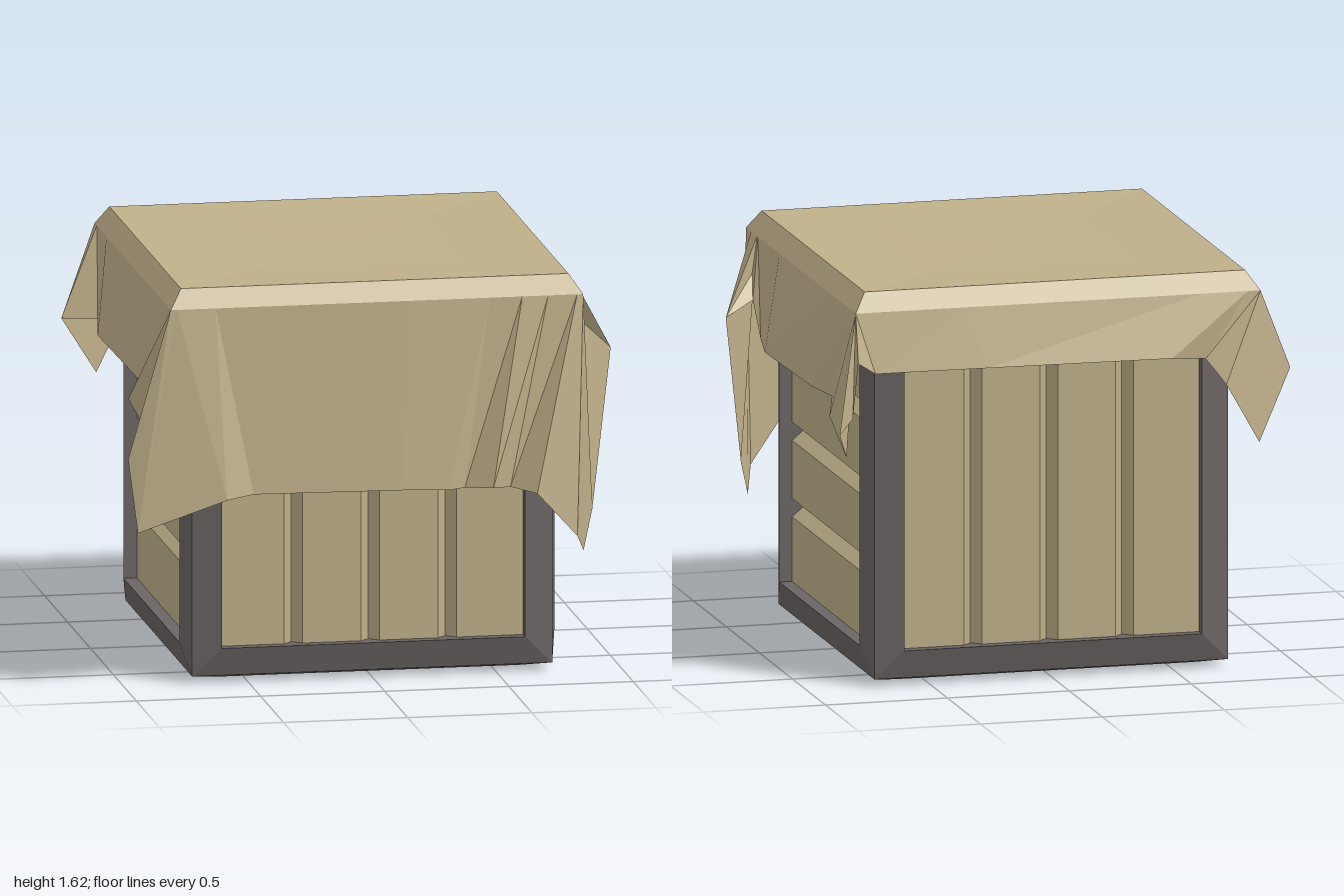
import * as THREE from 'three';
import { mergeGeometries } from 'three/addons/utils/BufferGeometryUtils.js';

const mat = (name, color) => new THREE.MeshStandardMaterial({ name, color, flatShading: true });

// Surface between closed rings of points, listed from outer/lower to inner/upper
function loft(rings) {
  const pos = [];
  for (let r = 0; r + 1 < rings.length; r++) {
    const lo = rings[r], hi = rings[r + 1], n = lo.length;
    for (let i = 0; i < n; i++) {
      const j = (i + 1) % n;
      pos.push(...lo[i], ...lo[j], ...hi[j], ...lo[i], ...hi[j], ...hi[i]);
    }
  }
  const g = new THREE.BufferGeometry();
  g.setAttribute('position', new THREE.Float32BufferAttribute(pos, 3));
  g.computeVertexNormals();
  return g;
}

// One side of the frame, facing +z: sloped border, then the wall of the recess
function frameSide() {
  const square = (h, z) => [[-h, -h, z], [h, -h, z], [h, h, z], [-h, h, z]];
  return loft([square(0.725, 0.725), square(0.61, 0.755), square(0.615, 0.65)]);
}

// Four planks with V grooves between them, facing +z
function plankPanel() {
  const s = new THREE.Shape();
  s.moveTo(-0.63, 0.62);
  s.lineTo(0.63, 0.62);
  s.lineTo(0.63, 0.7);
  for (const c of [0.307, -0.003, -0.313]) {
    s.lineTo(c + 0.037, 0.7);
    s.lineTo(c, 0.655);
    s.lineTo(c - 0.037, 0.7);
  }
  s.lineTo(-0.63, 0.7);
  const g = new THREE.ExtrudeGeometry(s, { depth: 1.26, bevelEnabled: false });
  return g.translate(0, 0, -0.63).rotateX(Math.PI / 2);
}

// Hem of the cloth, counter-clockwise from above, starting at the front left of the image plane
const HEM = [
  [-0.62, 0.78, 0.92], [-0.5, 0.785, 0.85], [0.1, 0.785, 0.88], [0.28, 0.78, 0.89],
  [0.35, 0.78, 0.85], [0.45, 0.79, 0.93], [0.53, 0.78, 0.87], [0.62, 0.77, 0.97],
  [0.8, 0.57, 0.87], [0.85, 0.48, 0.73], [0.9, 0.63, 0.65], [1.0, 1.25, 0.51],
  [0.87, 1.3, 0.58], [0.86, 1.16, 0.5],
  [0.91, 1.16, 0.25], [0.89, 1.155, -0.37], [0.86, 1.155, -0.58],
  [0.9, 1.1, -0.69], [0.87, 0.96, -0.84], [0.92, 1.07, -0.92], [0.85, 1.12, -0.86],
  [0.86, 1.37, -0.98], [0.76, 1.3, -0.87],
  [0.3, 1.3, -0.88], [-0.45, 1.3, -0.9], [-0.6, 1.28, -0.85],
  [-0.65, 1.2, -0.98], [-0.82, 0.93, -0.85], [-0.99, 1.19, -0.69], [-0.86, 1.2, -0.6],
  [-0.89, 1.17, -0.44], [-0.87, 1.16, 0.52], [-0.97, 1.15, 0.66], [-0.89, 1.0, 0.71],
  [-1.0, 0.94, 0.82], [-0.97, 0.65, 0.87],
];

// Draped cloth: hem, shoulder, top edge, then a slightly sagging top
function clothGeometry() {
  const ring = (half, y, k = 1) => HEM.map(([x, , z]) => [
    THREE.MathUtils.clamp(x * 1.3, -half, half) * k, y,
    THREE.MathUtils.clamp(z * 1.3, -half, half) * k,
  ]);
  return loft([HEM, ring(0.83, 1.54), ring(0.78, 1.615), ring(0.78, 1.6, 0.55), ring(0.78, 1.59, 0)]);
}

export function createModel() {
  const model = new THREE.Group();
  model.name = 'coveredCrate';
  const frameMat = mat('darkFrame', 0x6b6464);
  const woodMat = mat('wood', 0xbcae88);
  const clothMat = mat('cloth', 0xc0b08a);
  clothMat.side = THREE.DoubleSide;

  // Turns a +z side into each side of the crate; side planks run horizontally
  const H = Math.PI / 2;
  const sides = {
    front: (g) => g,
    back: (g) => g.rotateY(Math.PI),
    left: (g) => g.rotateZ(H).rotateY(H),
    right: (g) => g.rotateZ(-H).rotateY(-H),
    bottom: (g) => g.rotateX(H),
    top: (g) => g.rotateX(-H),
  };
  const crate = new THREE.Group();
  crate.name = 'crate';
  crate.position.y = 0.755;
  const turns = Object.entries(sides);
  const frame = new THREE.Mesh(mergeGeometries(turns.map(([, turn]) => turn(frameSide()))), frameMat);
  frame.name = 'frame';
  crate.add(frame);
  for (const [name, turn] of turns) {
    const planks = new THREE.Mesh(turn(plankPanel()), woodMat);
    planks.name = name + 'Planks';
    crate.add(planks);
  }

  const cloth = new THREE.Mesh(clothGeometry(), clothMat);
  cloth.name = 'clothCover';
  model.add(crate, cloth);
  return model;
}
